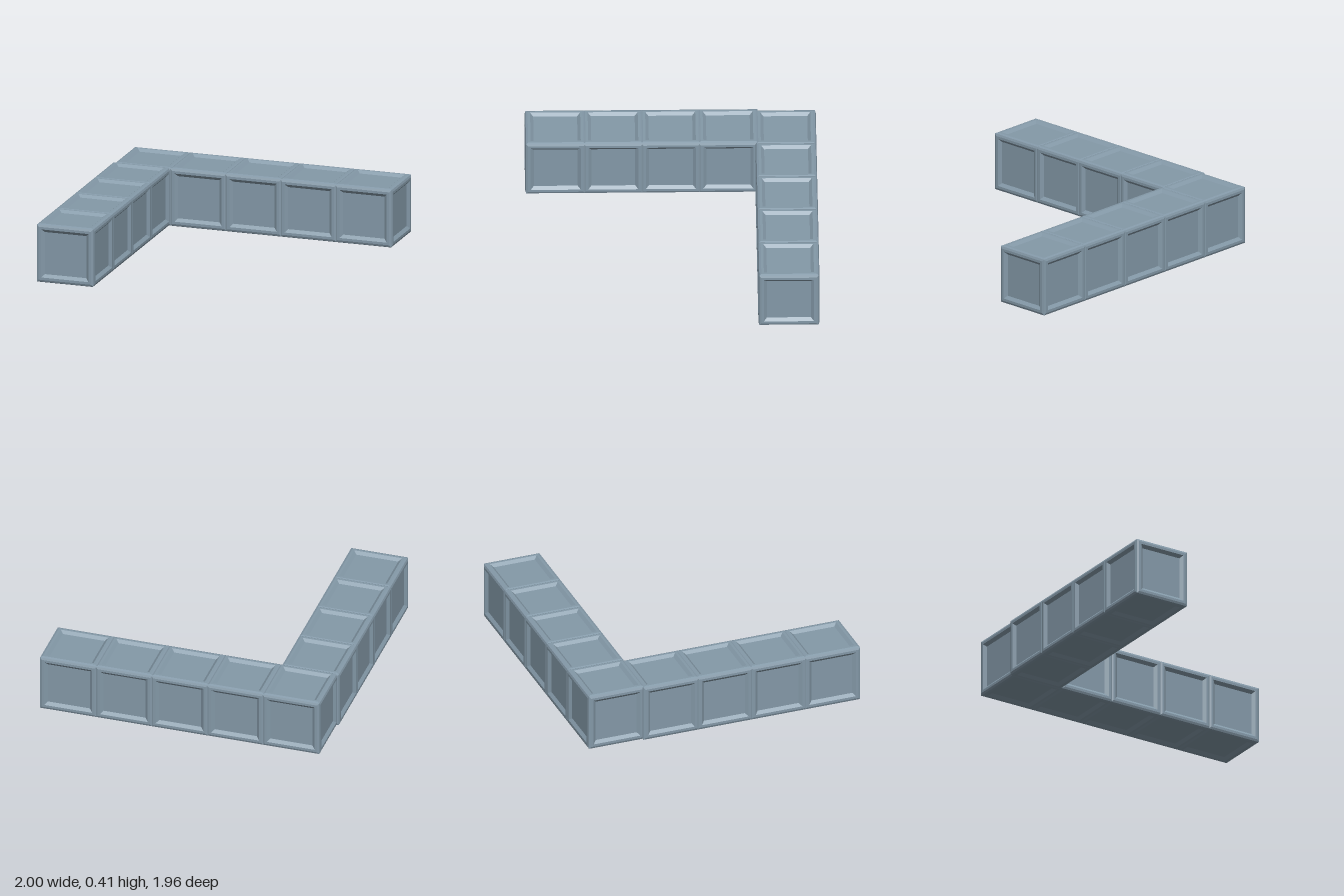
import * as THREE from 'three';

// Cube whose six faces share one profile of square rings: [half width, height]
const PROFILE = [
  [0.2, 0.2],       // middle of the rounded edge
  [0.186, 0.206],   // flat rim
  [0.169, 0.206],
  [0.148, 0.188],   // recessed panel
];

function panelledCube() {
  const pos = [];
  const corners = [[-1, -1], [1, -1], [1, 1], [-1, 1]];
  const v = new THREE.Vector3();
  const turns = [
    [0, 0], [0, Math.PI / 2], [0, Math.PI], [0, -Math.PI / 2],
    [Math.PI / 2, 0], [-Math.PI / 2, 0],
  ];
  for (const [rx, ry] of turns) {
    const turn = new THREE.Euler(rx, ry, 0);
    const point = (ring, k) => {
      const [s, h] = PROFILE[ring];
      const [cx, cy] = corners[k % 4];
      v.set(cx * s, cy * s, h).applyEuler(turn);
      return [v.x, v.y, v.z];
    };
    const quad = (a, b, c, d) => pos.push(...a, ...b, ...c, ...a, ...c, ...d);
    // Rim, bevel and slope, from the edge inwards
    for (let r = 0; r < PROFILE.length - 1; r++) {
      for (let k = 0; k < 4; k++) {
        quad(point(r, k), point(r, k + 1), point(r + 1, k + 1), point(r + 1, k));
      }
    }
    // Panel floor
    const last = PROFILE.length - 1;
    quad(point(last, 0), point(last, 1), point(last, 2), point(last, 3));
  }
  const geo = new THREE.BufferGeometry();
  geo.setAttribute('position', new THREE.Float32BufferAttribute(pos, 3));
  geo.computeVertexNormals();
  return geo;
}

export function createModel() {
  const model = new THREE.Group();
  model.name = 'cornerWall';

  const slate = new THREE.MeshStandardMaterial({ color: 0x8499a8 });
  slate.name = 'slateBlue';
  const cube = panelledCube();

  const addBlock = (parent, name, x, z) => {
    const mesh = new THREE.Mesh(cube, slate);
    mesh.name = name;
    mesh.position.set(x, 0.206, z);
    parent.add(mesh);
  };

  // Back row of five blocks, including the corner
  const backRow = new THREE.Group();
  backRow.name = 'backRow';
  for (let i = 0; i < 5; i++) addBlock(backRow, `backBlock${i + 1}`, -0.778 + i * 0.393, -0.776);

  // Side row of four blocks running forward
  const sideRow = new THREE.Group();
  sideRow.name = 'sideRow';
  for (let i = 1; i < 5; i++) addBlock(sideRow, `sideBlock${i}`, -0.794, -0.776 + i * 0.388);

  model.add(backRow, sideRow);
  return model;
}
